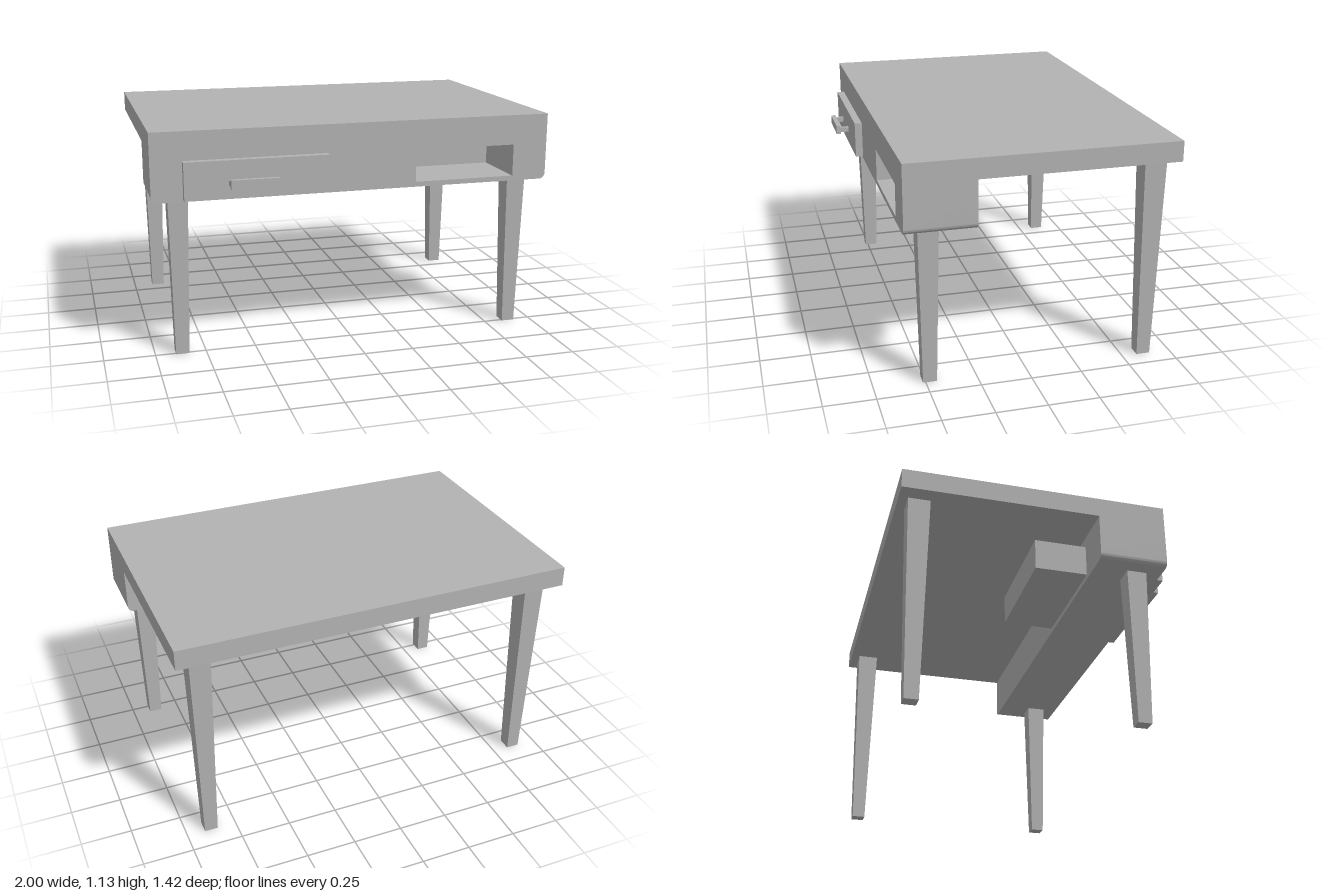
import * as THREE from 'three';
import { toCreasedNormals } from 'three/addons/utils/BufferGeometryUtils.js';

export function createModel() {
  const group = new THREE.Group();
  const grey = new THREE.MeshStandardMaterial({ color: 0xb2b2b2 });
  grey.name = 'plain grey';

  const add = (name, geometry) => {
    const mesh = new THREE.Mesh(geometry, grey);
    mesh.name = name;
    group.add(mesh);
    return mesh;
  };

  // Box given by its extents on each axis
  const box = (name, [x0, x1], [y0, y1], [z0, z1]) =>
    add(name, new THREE.BoxGeometry(x1 - x0, y1 - y0, z1 - z0))
      .position.set((x0 + x1) / 2, (y0 + y1) / 2, (z0 + z1) / 2);

  // Table top
  box('tableTop', [-1, 1], [1.03, 1.13], [-0.71, 0.605]);

  // Drawer housing: rounded lower corners, open compartment on one side
  const outline = (r = 0.03, low = 0.795, high = 1.03) => {
    const s = new THREE.Shape();
    s.moveTo(1, high);
    s.lineTo(-1, high);
    s.lineTo(-1, low + r);
    s.absarc(-1 + r, low + r, r, Math.PI, Math.PI * 1.5, false);
    s.lineTo(1 - r, low);
    s.absarc(1 - r, low + r, r, Math.PI * 1.5, Math.PI * 2, false);
    s.closePath();
    return s;
  };
  const extrude = (name, shape, z0, z1) => {
    const g = new THREE.ExtrudeGeometry(shape, { depth: z1 - z0, bevelEnabled: false, curveSegments: 10 });
    add(name, toCreasedNormals(g, 0.6)).position.z = z0;
  };
  const housing = outline();
  housing.holes.push(new THREE.Path([[0.3, 0.82], [0.3, 0.98], [0.82, 0.98], [0.82, 0.82]]
    .map(([x, y]) => new THREE.Vector2(x, y))));
  extrude('drawerHousing', housing, 0.28, 0.605);
  extrude('housingBack', outline(), 0.265, 0.28);

  // Drawer: body reaching out behind the housing, front panel and handle
  box('drawerBody', [-0.79, -0.2], [0.82, 0.98], [0, 0.61]);
  box('drawerFront', [-0.85, -0.15], [0.805, 0.99], [0.605, 0.643]);
  box('handleBar', [-0.64, -0.41], [0.862, 0.908], [0.687, 0.71]);
  for (const x of [-0.64, -0.433]) {
    box('handlePost', [x, x + 0.023], [0.872, 0.897], [0.64, 0.69]);
  }

  // Tapered square legs
  const leg = (name, x, z, height, topX, topZ) => {
    const g = new THREE.BoxGeometry(1, height, 1);
    const p = g.attributes.position;
    for (let i = 0; i < p.count; i++) {
      const top = p.getY(i) > 0;
      p.setX(i, p.getX(i) * (top ? topX : 0.066));
      p.setZ(i, p.getZ(i) * (top ? topZ : 0.068));
    }
    g.computeVertexNormals();
    add(name, g).position.set(x, height / 2, z);
  };
  for (const x of [-0.867, 0.877]) {
    leg('frontLeg', x, 0.479, 0.8, 0.098, 0.1);
    leg('backLeg', x, -0.61, 1.03, 0.105, 0.11);
  }

  return group;
}
